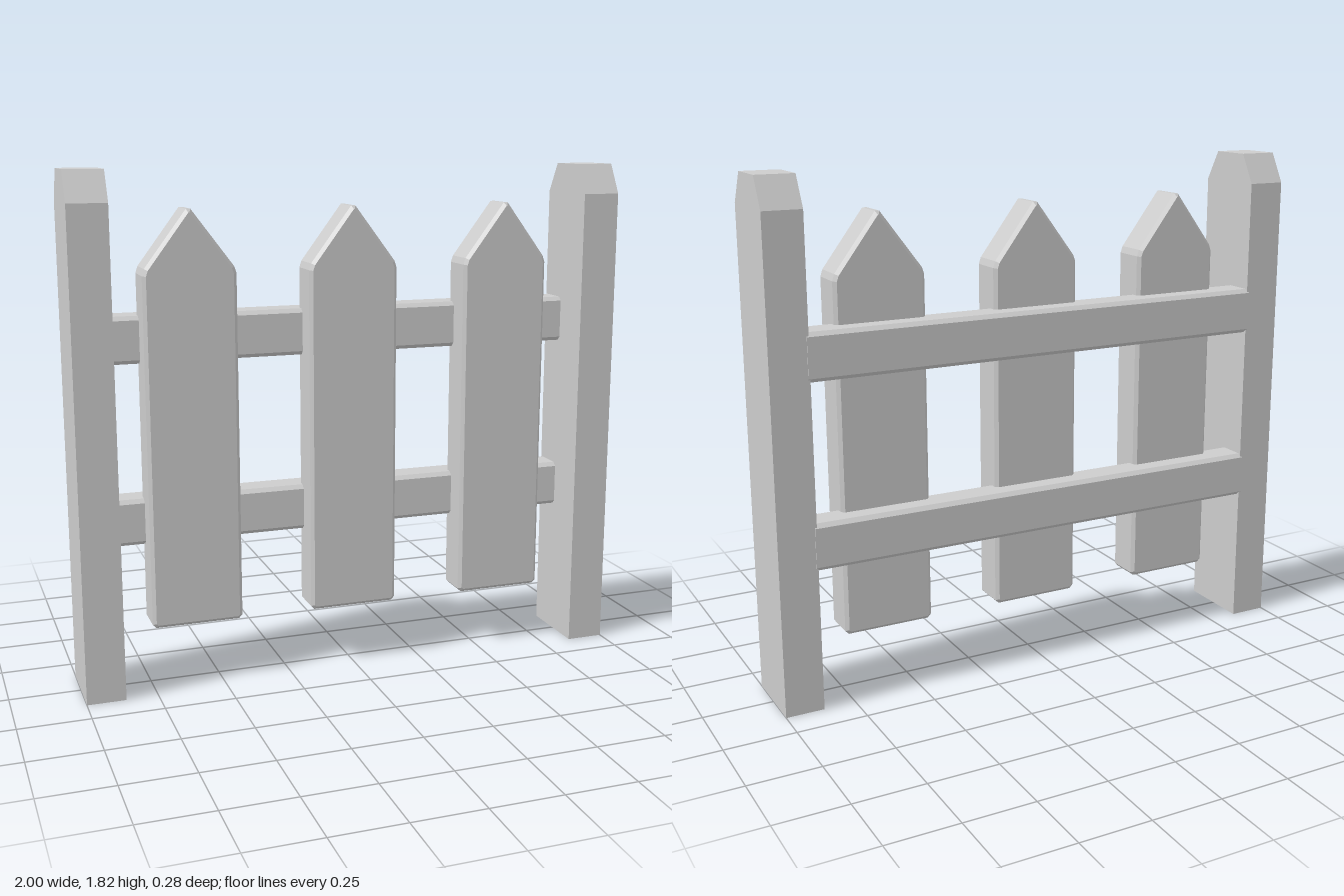
import * as THREE from 'three';

const lerp = (a, b, t) => new THREE.Vector2().lerpVectors(a, b, t);

// Closed outline with every corner cut off at distance c along its edges
function cutCorners(points, c) {
  const p = points.map(([x, y]) => new THREE.Vector2(x, y));
  const out = [];
  p.forEach((corner, i) => {
    const prev = p[(i + p.length - 1) % p.length];
    const next = p[(i + 1) % p.length];
    out.push(lerp(corner, prev, c / corner.distanceTo(prev)));
    out.push(lerp(corner, next, c / corner.distanceTo(next)));
  });
  return new THREE.Shape(out);
}

// Extrusion centred on z, optionally chamfered inward on both faces
function slab(shape, depth, bevel = 0) {
  const geometry = new THREE.ExtrudeGeometry(shape, {
    depth: depth - 2 * bevel,
    bevelEnabled: bevel > 0,
    bevelThickness: bevel,
    bevelSize: bevel,
    bevelOffset: -bevel,
    bevelSegments: 1,
  });
  return geometry.translate(0, 0, bevel - depth / 2);
}

export function createModel() {
  const fence = new THREE.Group();
  fence.name = 'picketFence';
  const grey = new THREE.MeshStandardMaterial({ color: 0xcccccc, flatShading: true });
  grey.name = 'plain grey';

  const add = (name, geometry, x, y, z) => {
    const mesh = new THREE.Mesh(geometry, grey);
    mesh.name = name;
    mesh.position.set(x, y, z);
    fence.add(mesh);
  };

  // End posts, with sloped shoulders at front and back
  const postProfile = new THREE.Shape([
    [-0.137, 0], [0.137, 0], [0.137, 1.71], [0.078, 1.816], [-0.078, 1.816], [-0.137, 1.71],
  ].map(([z, y]) => new THREE.Vector2(z, y)));
  const post = slab(postProfile, 0.137).rotateY(-Math.PI / 2);
  add('leftPost', post, 0.9315, 0, 0);
  add('rightPost', post, -0.9315, 0, 0);

  // Rails with chamfered long edges, let into the posts
  const railProfile = cutCorners(
    [[-0.06, -0.083], [0.06, -0.083], [0.06, 0.083], [-0.06, 0.083]], 0.014);
  const rail = slab(railProfile, 1.74).rotateY(-Math.PI / 2);
  add('lowerRail', rail, 0, 0.588, -0.08);
  add('upperRail', rail, 0, 1.235, -0.08);

  // Pointed pickets, chamfered all round
  const picketOutline = cutCorners(
    [[-0.163, 0.22], [0.163, 0.22], [0.163, 1.475], [0, 1.692], [-0.163, 1.475]], 0.013);
  const picket = slab(picketOutline, 0.136, 0.012);
  for (const [name, x] of [['rightPicket', -0.585], ['middlePicket', 0], ['leftPicket', 0.585]]) {
    add(name, picket, x, 0, 0.002);
  }

  return fence;
}
